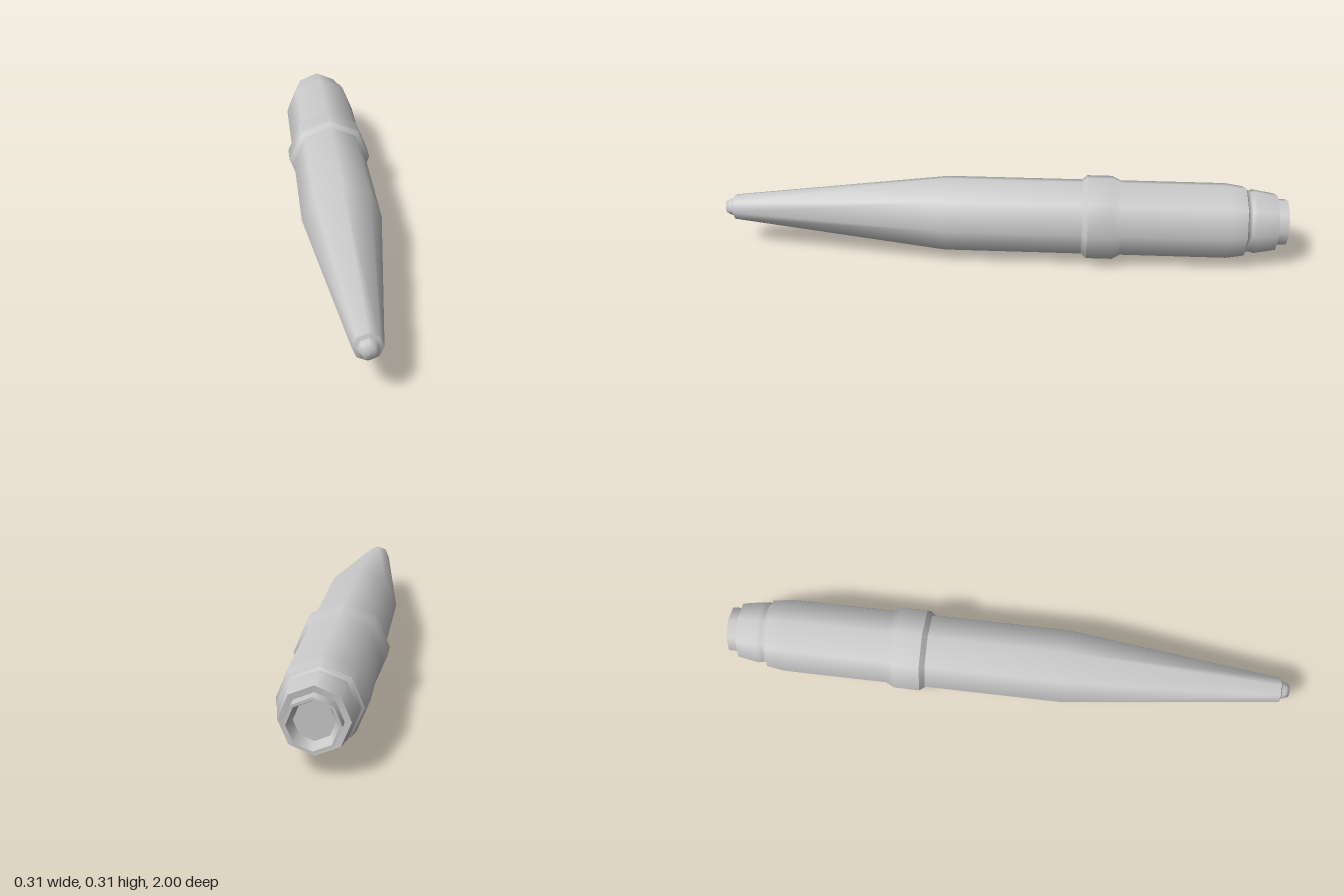
import * as THREE from 'three';

const SIDES = 8;
const AXIS_HEIGHT = 0.153;

// Eight-sided turned part along z; profile is [radius, z] pairs from back to front.
function turned(name, profile) {
  const points = profile.map(([r, z]) => new THREE.Vector2(r, z));
  const geometry = new THREE.LatheGeometry(points, SIDES);
  geometry.rotateX(Math.PI / 2);
  const material = new THREE.MeshStandardMaterial({ color: 0xcccccc, side: THREE.DoubleSide });
  const mesh = new THREE.Mesh(geometry, material);
  mesh.name = name;
  mesh.position.y = AXIS_HEIGHT;
  return mesh;
}

export function createModel() {
  const model = new THREE.Group();
  model.name = 'pen';
  model.add(
    // Recess in the back end: flat floor and flared wall
    turned('recessFloor', [[0, -0.96], [0.06, -0.96]]),
    turned('recessWall', [[0.06, -0.96], [0.074, -1]]),
    // Thin collar around the recess
    turned('collarRim', [[0.074, -1], [0.083, -1]]),
    turned('collar', [[0.083, -1], [0.083, -0.96]]),
    // Tapered end cap and the groove in front of it
    turned('capBack', [[0.083, -0.96], [0.103, -0.962]]),
    turned('endCap', [[0.103, -0.962], [0.117, -0.885], [0.111, -0.87], [0.113, -0.858], [0.127, -0.852]]),
    // Barrel with its raised grip band
    turned('rearBarrel', [
      [0.127, -0.852], [0.137, -0.79], [0.137, -0.42],
      [0.153, -0.39], [0.153, -0.3],
    ]),
    turned('bandFront', [[0.153, -0.3], [0.137, -0.282]]),
    turned('frontBarrel', [[0.137, -0.282], [0.137, 0.2], [0.046, 0.965]]),
    // Stepped, rounded writing tip
    turned('tipShoulder', [[0.046, 0.965], [0.033, 0.97]]),
    turned('tip', [[0.033, 0.97], [0.029, 0.985], [0.021, 0.998], [0, 1]]),
  );
  return model;
}
